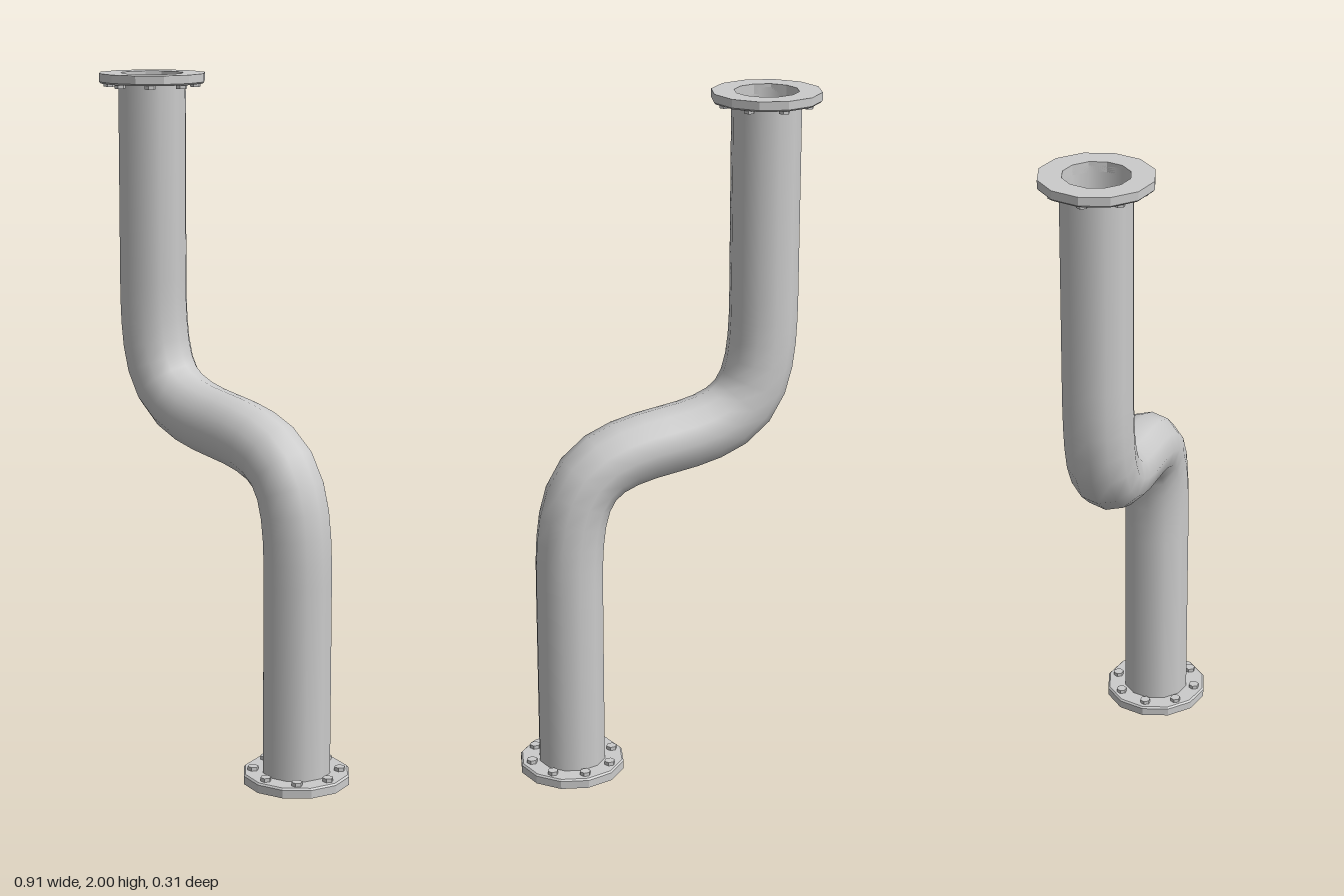
import * as THREE from 'three';

const PIPE_R = 0.1, BORE_R = 0.092, SIDES = 12;
const v = (x, y) => new THREE.Vector3(x, y, 0);

// S-shaped centre line: straight, two mirrored bends, straight
function pipePath() {
  const lower = [v(0, 1), v(0.25, 0.967), v(0.3, 0.9), v(0.3, 0.6)];
  const upper = lower.map(p => v(-p.x, 2 - p.y)).reverse();
  const path = new THREE.CurvePath();
  path.add(new THREE.LineCurve3(v(-0.3, 1.99), upper[0]));
  path.add(new THREE.CubicBezierCurve3(...upper));
  path.add(new THREE.CubicBezierCurve3(...lower));
  path.add(new THREE.LineCurve3(lower[3], v(0.3, 0.01)));
  return path;
}

// Bolted ring, standing on y = 0 with its bolts on top
function makeFlange(name) {
  const flange = new THREE.Group();
  flange.name = name;
  const mat = new THREE.MeshStandardMaterial({ color: 0xcccccc, flatShading: true });

  const profile = [
    [BORE_R, 0], [0.157, 0], [0.157, 0.024], [0.152, 0.029], [BORE_R, 0.029], [BORE_R, 0],
  ].map(([r, y]) => new THREE.Vector2(r, y));
  const ring = new THREE.Mesh(new THREE.LatheGeometry(profile, SIDES), mat);
  ring.name = name + 'Ring';
  flange.add(ring);

  const boltGeo = new THREE.CylinderGeometry(0.016, 0.016, 0.014, 6).rotateY(Math.PI / 2);
  for (let i = 0; i < 8; i++) {
    const a = (i / 8) * Math.PI * 2;
    const bolt = new THREE.Mesh(boltGeo, mat);
    bolt.name = name + 'Bolt' + (i + 1);
    bolt.position.set(0.125 * Math.cos(a), 0.033, 0.125 * Math.sin(a));
    flange.add(bolt);
  }
  return flange;
}

export function createModel() {
  const model = new THREE.Group();
  model.name = 'flangedPipe';

  // Outer and inner pipe walls
  const path = pipePath();
  const wall = (name, radius, side) => {
    const mesh = new THREE.Mesh(
      new THREE.TubeGeometry(path, 36, radius, SIDES, false),
      new THREE.MeshStandardMaterial({ color: 0xcccccc, side }));
    mesh.name = name;
    model.add(mesh);
  };
  wall('pipeOuterWall', PIPE_R, THREE.FrontSide);
  wall('pipeInnerWall', BORE_R, THREE.BackSide);

  // End flanges, the top one turned upside down
  const bottom = makeFlange('bottomFlange');
  bottom.position.set(0.3, 0, 0);
  const top = makeFlange('topFlange');
  top.position.set(-0.3, 2, 0);
  top.rotation.z = Math.PI;
  model.add(bottom, top);

  return model;
}
